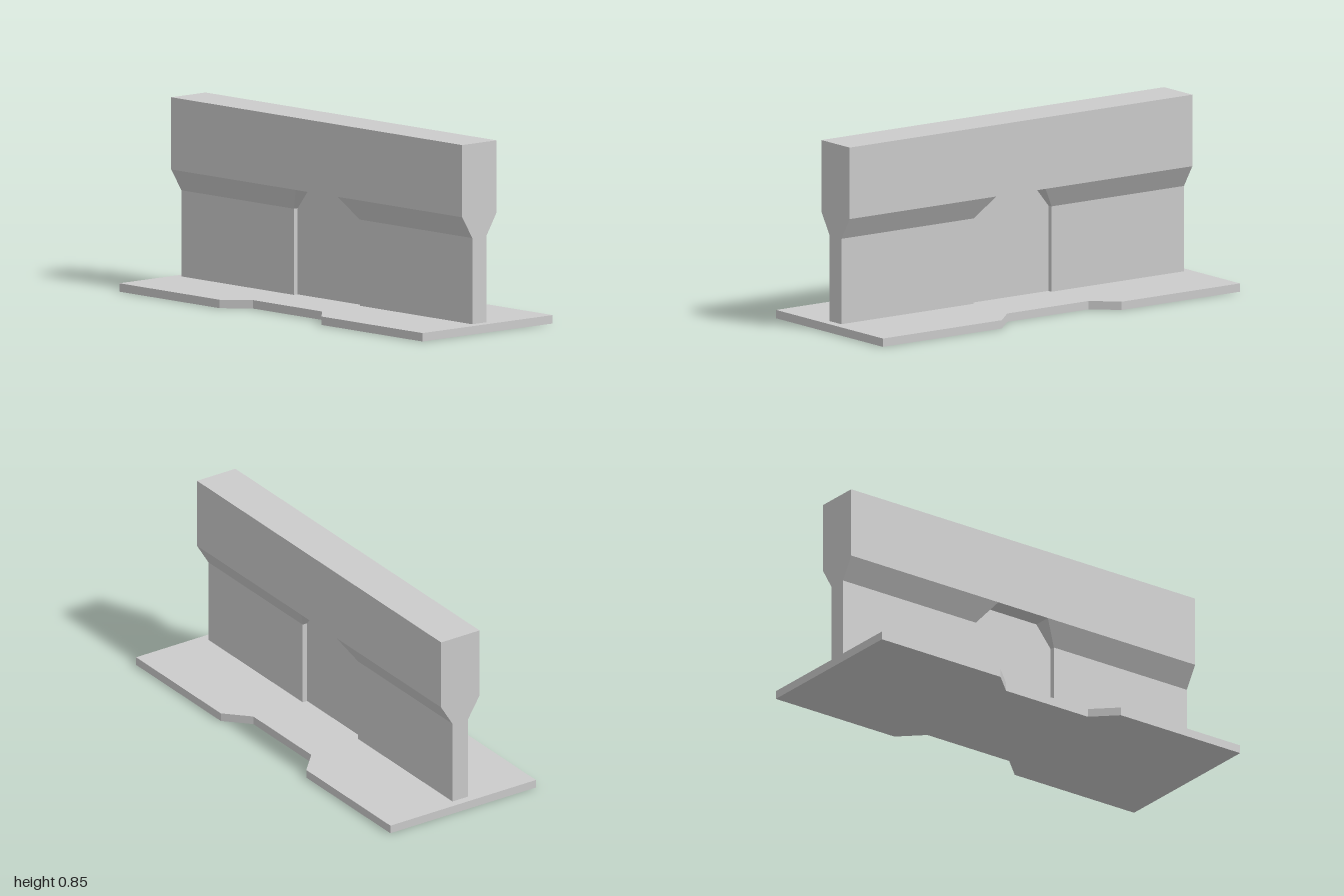
import * as THREE from 'three';

const CX = -0.002, CZ = 0.011; // centre of the rail section
const BASE_H = 0.038, WEB_TOP = 0.427, HEAD_BOTTOM = 0.527, HEAD_TOP = 0.853;
const HALF_L = 0.96, CORE = 0.019, WEB = 0.0425, HEAD = 0.104;

// Six-sided block between a bottom and a top rectangle [x0, x1, z0, z1]
function block(y0, y1, bottom, top = bottom) {
  const g = new THREE.BoxGeometry(1, 1, 1).toNonIndexed();
  const p = g.attributes.position;
  for (let i = 0; i < p.count; i++) {
    const up = p.getY(i) > 0;
    const r = up ? top : bottom;
    p.setXYZ(i, p.getX(i) < 0 ? r[0] : r[1], up ? y1 : y0, p.getZ(i) < 0 ? r[2] : r[3]);
  }
  g.computeVertexNormals();
  return g;
}

// Rectangle in one quadrant, mirrored by the signs and kept in ascending order
function quadrant(sx, sz, x0, x1, z0, z1) {
  const xs = [sx * x0, sx * x1].sort((a, b) => a - b);
  const zs = [sz * z0, sz * z1].sort((a, b) => a - b);
  return [...xs, ...zs];
}

export function createModel() {
  const model = new THREE.Group();
  const concrete = new THREE.MeshStandardMaterial({ color: 0xcccccc });
  concrete.name = 'lightGrey';
  const add = (parent, name, geometry) => {
    const mesh = new THREE.Mesh(geometry, concrete);
    mesh.name = name;
    parent.add(mesh);
    return mesh;
  };

  // Base plate with a shallow notch in each long side
  const plate = new THREE.Shape([
    [-1, -0.394], [-0.338, -0.394], [-0.23, -0.292], [0.226, -0.292], [0.334, -0.394], [1, -0.394],
    [1, 0.394], [0.334, 0.394], [0.226, 0.292], [-0.23, 0.292], [-0.338, 0.394], [-1, 0.394],
  ].map(([x, y]) => new THREE.Vector2(x, y)));
  const plateGeometry = new THREE.ExtrudeGeometry(plate, { depth: BASE_H, bevelEnabled: false });
  plateGeometry.rotateX(-Math.PI / 2);
  add(model, 'basePlate', plateGeometry);

  // Upright wall: wide head on a thin core
  const wall = new THREE.Group();
  wall.name = 'wall';
  wall.position.set(CX, 0, CZ);
  model.add(wall);
  add(wall, 'head', block(HEAD_BOTTOM, HEAD_TOP, [-HALF_L, HALF_L, -HEAD, HEAD]));
  add(wall, 'core', block(BASE_H, HEAD_BOTTOM, [-HALF_L, HALF_L, -CORE, CORE]));

  // Thicker cheeks either side of the central recess, flaring out under the head
  for (const sx of [-1, 1]) {
    for (const sz of [-1, 1]) {
      const low = quadrant(sx, sz, 0.218, HALF_L, CORE, WEB);
      const high = quadrant(sx, sz, 0.138, HALF_L, CORE, HEAD);
      const side = (sz > 0 ? 'front' : 'back') + (sx > 0 ? 'Left' : 'Right');
      add(wall, side + 'Cheek', block(BASE_H, WEB_TOP, low));
      add(wall, side + 'Flare', block(WEB_TOP, HEAD_BOTTOM, low, high));
    }
  }
  return model;
}
